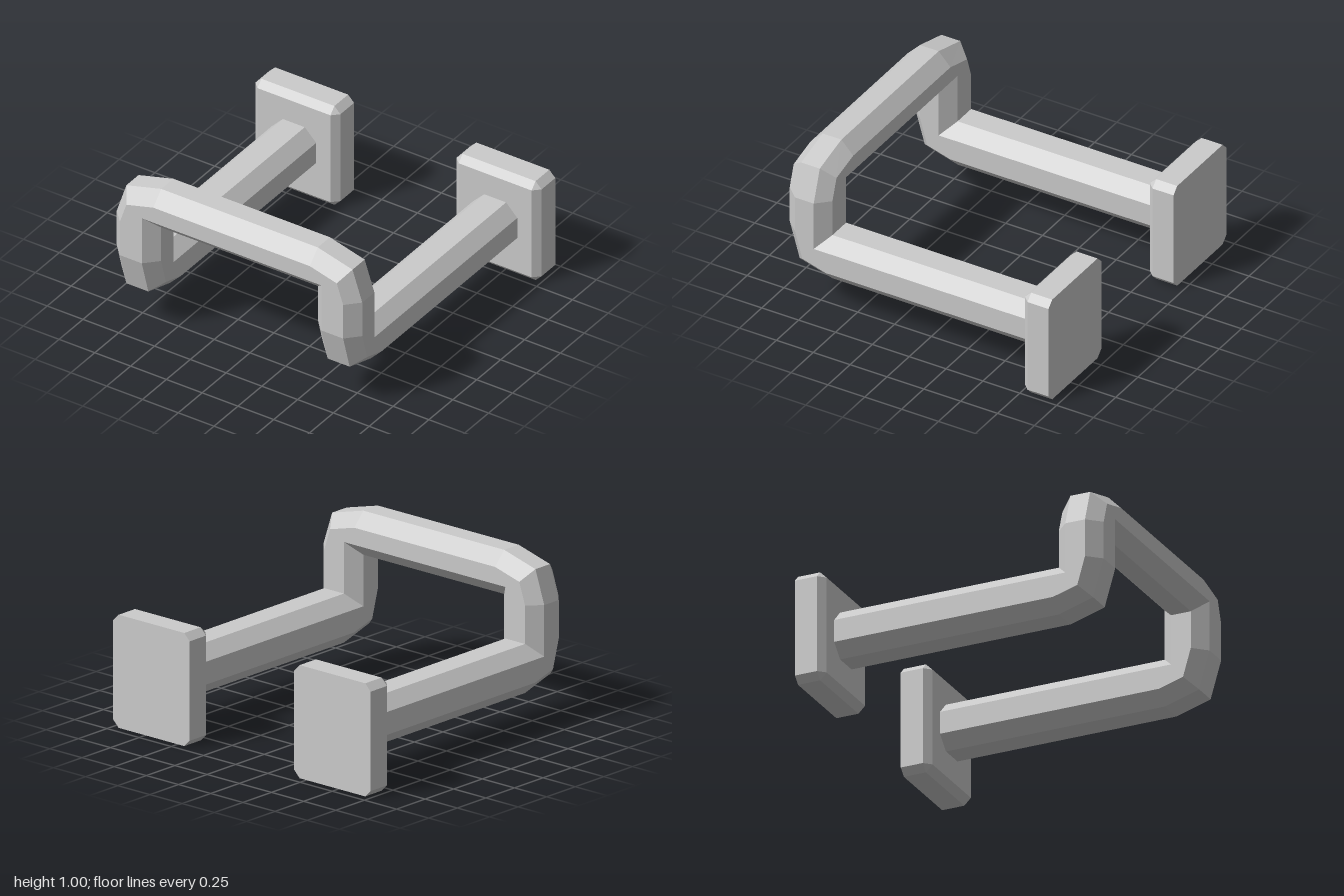
import * as THREE from 'three';
import { ConvexGeometry } from 'three/addons/geometries/ConvexGeometry.js';

const material = new THREE.MeshStandardMaterial({ color: 0xcccccc, flatShading: true });

function addMesh(group, name, geometry) {
  const mesh = new THREE.Mesh(geometry, material);
  mesh.name = name;
  group.add(mesh);
}

// Octagonal section as indices into four levels: i across, j from inside to outside of the bend
const SECTION = [[1, 0], [2, 0], [3, 1], [3, 2], [2, 3], [1, 3], [0, 2], [0, 1]];

// Joins successive octagonal rings into a flat-faced tube
function skinRings(rings) {
  const n = SECTION.length;
  const index = [];
  for (let r = 0; r < rings.length - 1; r++) {
    for (let k = 0; k < n; k++) {
      const a = r * n + k, b = r * n + (k + 1) % n;
      index.push(a, a + n, b + n, a, b + n, b);
    }
  }
  const geometry = new THREE.BufferGeometry();
  geometry.setAttribute('position', new THREE.Float32BufferAttribute(rings.flat(2), 3));
  geometry.setIndex(index);
  const flat = geometry.toNonIndexed();
  flat.computeVertexNormals();
  return flat;
}

// Bent bar: arm forward, up at the front, across, and back down the mirrored side
function barGeometry() {
  const armX = [0.547, 0.627, 0.78, 0.858];
  const armY = [0.5, 0.42, 0.28, 0.2];
  const barZ = [0.653, 0.733, 0.86, 0.943];
  const barY = [0.735, 0.815, 0.92, 1.005];
  const lowerBend = { y: [0.5, 0.42, 0.325, 0.265], z: [0.653, 0.733, 0.81, 0.875] };
  const upperBend = { x: [0.547, 0.627, 0.735, 0.79], y: [0.735, 0.815, 0.87, 0.94] };
  const half = [
    (i, j) => [armX[i], armY[j], -0.76],
    (i, j) => [armX[i], armY[j], barZ[0]],
    (i, j) => [armX[i], lowerBend.y[j], lowerBend.z[j]],
    (i, j) => [armX[i], armY[0], barZ[j]],
    (i, j) => [armX[i], barY[0], barZ[j]],
    (i, j) => [upperBend.x[i], upperBend.y[i], barZ[j]],
    (i, j) => [armX[0], barY[i], barZ[j]],
  ].map((place) => SECTION.map(([i, j]) => place(i, j)));
  const mirrored = half.map((ring) => ring.map(([x, y, z]) => [-x, y, z])).reverse();
  return skinRings([...half, ...mirrored]);
}

// Mounting plate with chamfered corners and a bevelled front rim
function plateGeometry() {
  const w = 0.297, h = 0.346, c = 0.042;
  const points = [];
  for (const sx of [-1, 1]) {
    for (const sy of [-1, 1]) {
      for (const z of [-0.945, -0.802]) {
        points.push(new THREE.Vector3(sx * w, sy * (h - c), z));
        points.push(new THREE.Vector3(sx * (w - c), sy * h, z));
      }
      points.push(new THREE.Vector3(sx * (w - c), sy * (h - c), -0.76));
    }
  }
  return new ConvexGeometry(points).translate(0, h, 0);
}

export function createModel() {
  const model = new THREE.Group();
  model.name = 'bracketHandle';
  addMesh(model, 'bentBar', barGeometry());
  for (const [name, x] of [['leftPlate', 0.703], ['rightPlate', -0.703]]) {
    addMesh(model, name, plateGeometry().translate(x, 0, 0));
  }
  return model;
}
